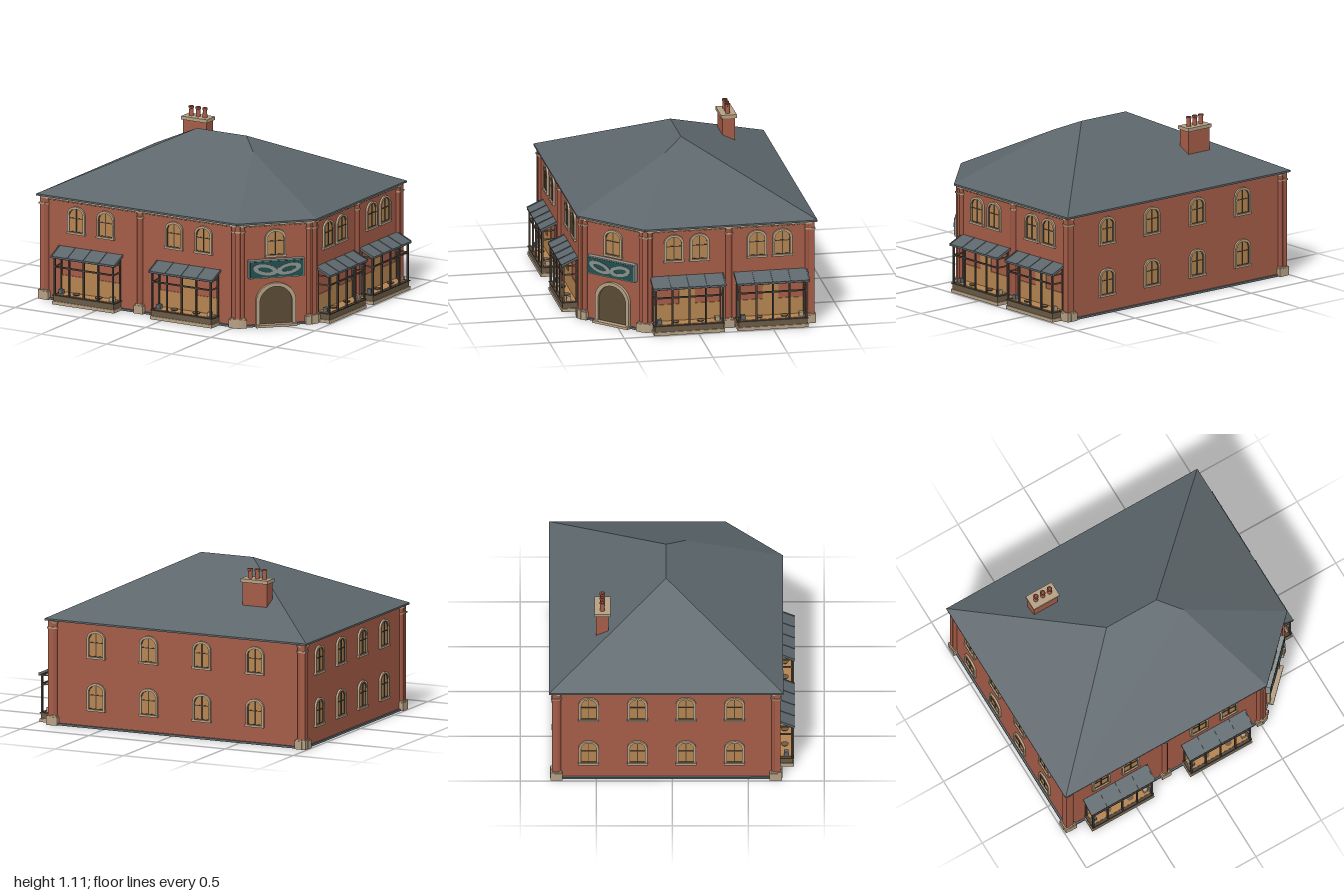
import * as THREE from 'three';

const mat = (name, color) => {
  const m = new THREE.MeshStandardMaterial({ color, flatShading: name !== 'column brick' });
  m.name = name;
  return m;
};

export function createModel() {
  const brick = mat('brick', 0xa55c47), shaftBrick = mat('column brick', 0x9c5542);
  const slate = mat('slate', 0x5c666b), stone = mat('stone', 0xb5a084);
  const amber = mat('amber glass', 0xb58450), wood = mat('brown wood', 0x6b5a45);
  const frameWood = mat('dark frame', 0x4c433a), green = mat('sign green', 0x20504c);
  const silver = mat('silver ornament', 0x8c908f), doorWood = mat('door wood', 0x5a4a33);

  const model = new THREE.Group();
  model.name = 'cornerPub';

  const add = (parent, name, geo, material, x = 0, y = 0, z = 0) => {
    const m = new THREE.Mesh(geo, material);
    m.name = name;
    m.position.set(x, y, z);
    parent.add(m);
    return m;
  };
  // box given by its centre in x, bottom and top in y, back and front in z
  const box = (parent, name, material, x, w, y0, y1, z0, z1) =>
    add(parent, name, new THREE.BoxGeometry(w, y1 - y0, z1 - z0), material, x, (y0 + y1) / 2, (z0 + z1) / 2);

  // five-sided plan with the cut corner, grown outward by a margin
  const plan = (m) => {
    const c = m * 0.414;
    return [[-0.965 - m, 0.695 + m], [0.525 + c, 0.695 + m], [0.885 + m, 0.335 + c],
      [0.885 + m, -0.775 - m], [-0.965 - m, -0.775 - m]];
  };
  const slab = (name, material, margin, y0, y1) => {
    const s = new THREE.Shape(plan(margin).map(([x, z]) => new THREE.Vector2(x, -z)));
    const g = new THREE.ExtrudeGeometry(s, { depth: y1 - y0, bevelEnabled: false });
    add(model, name, g.rotateX(-Math.PI / 2), material, 0, y0, 0);
  };
  slab('foundation', slate, 0.012, 0, 0.014);
  slab('walls', brick, 0, 0.014, 0.7);
  slab('eaves', slate, 0.035, 0.702, 0.714);

  // hipped roof
  const eave = plan(0.035).map(([x, z]) => [x, 0.714, z]);
  const [A, B, C, D, E] = eave;
  const R1 = [-0.23, 1.09, -0.04], R2 = [0.15, 1.09, -0.04], P = [0.28, 1.027, 0.09];
  const pos = [];
  for (const f of [[A, B, P, R2, R1], [B, C, P], [C, D, R2, P], [D, E, R1, R2], [E, A, R1]])
    for (let i = 1; i < f.length - 1; i++) pos.push(...f[0], ...f[i], ...f[i + 1]);
  const roofGeo = new THREE.BufferGeometry();
  roofGeo.setAttribute('position', new THREE.Float32BufferAttribute(pos, 3));
  roofGeo.computeVertexNormals();
  add(model, 'roof', roofGeo, slate);

  // each wall is a group whose local +z points outward
  const wall = (name, x, z, ry) => {
    const g = new THREE.Group();
    g.name = name;
    g.position.set(x, 0, z);
    g.rotation.y = ry;
    model.add(g);
    return g;
  };
  const front = wall('frontWall', 0, 0.695, 0);
  const right = wall('bayWall', 0.885, 0, Math.PI / 2);
  const back = wall('backWall', 0, -0.775, Math.PI);
  const left = wall('plainSideWall', -0.965, 0, -Math.PI / 2);
  const corner = wall('cornerWall', 0.705, 0.515, Math.PI / 4);

  // arched opening outline, bottom centre at the origin
  const arch = (Type, w, h, rise, y = 0) => {
    const s = new Type();
    s.moveTo(-w / 2, y);
    s.lineTo(w / 2, y);
    s.lineTo(w / 2, y + h - rise);
    s.absellipse(0, y + h - rise, w / 2, rise, 0, Math.PI, false);
    s.closePath();
    return s;
  };
  const plate = (shape, depth) => new THREE.ExtrudeGeometry(shape, { depth, bevelEnabled: false, curveSegments: 14 });
  const ring = (w, h, rise, t, bottom) => {
    const s = arch(THREE.Shape, w, h, rise);
    s.holes.push(arch(THREE.Path, w - 2 * t, h - t - bottom, rise - t / 2, bottom));
    return s;
  };

  const windowAt = (parent, x, y, w = 0.132, h = 0.185) => {
    const g = new THREE.Group();
    g.name = 'archedWindow';
    g.position.set(x, y, 0);
    parent.add(g);
    add(g, 'stoneSurround', plate(ring(w, h, 0.056, 0.013, 0.01), 0.014), stone);
    add(g, 'windowGlass', plate(arch(THREE.Shape, w - 0.02, h - 0.015, 0.05, 0.006), 0.004), amber);
    const sash = add(g, 'sash', plate(ring(w - 0.024, h - 0.022, 0.049, 0.005, 0.005), 0.008), frameWood);
    sash.position.y = 0.01;
    box(g, 'mullion', frameWood, 0, 0.006, 0.01, h - 0.014, 0, 0.009);
    box(g, 'glazingBar', frameWood, 0, w - 0.026, 0.102, 0.107, 0, 0.009);
    box(g, 'sill', stone, 0, w + 0.006, -0.004, 0.01, 0, 0.018);
  };
  for (const x of [-0.71, -0.485, 0.04, 0.265]) windowAt(front, x, 0.472);
  for (const z of [0.147, -0.025, -0.41, -0.58]) windowAt(right, -z, 0.475);
  for (const y of [0.12, 0.472]) {
    for (const x of [0.555, 0.17, -0.22, -0.61]) windowAt(back, -x, y);
    for (const z of [-0.55, -0.23, 0.09, 0.41]) windowAt(left, z, y);
  }
  windowAt(corner, 0, 0.472, 0.14);

  // shopfront bay with open glazing, posts and a lean-to roof
  const bayAt = (parent, x) => {
    const g = new THREE.Group();
    g.name = 'shopBay';
    g.position.x = x;
    parent.add(g);
    const w = 0.46, d = 0.1;
    box(g, 'bayPlinth', stone, 0, w + 0.014, 0, 0.022, 0, d + 0.006);
    box(g, 'stallRiser', wood, 0, w, 0.022, 0.058, 0, d);
    box(g, 'baySill', frameWood, 0, w + 0.012, 0.058, 0.064, 0, d + 0.006);
    box(g, 'displayFloor', amber, 0, w - 0.03, 0.06, 0.067, 0, d - 0.014);
    box(g, 'displayBack', amber, 0, w - 0.02, 0.064, 0.18, 0, 0.006);
    add(g, 'innerArch', plate(arch(THREE.Shape, 0.108, 0.13, 0.05), 0.006), amber, 0, 0.18, 0);
    for (let i = 0; i <= 4; i++)
      box(g, 'bayPost', frameWood, (i / 4 - 0.5) * (w - 0.012), 0.011, 0.06, 0.33, d - 0.012, d);
    for (const y of [0.25, 0.31])
      box(g, 'bayRail', frameWood, 0, w, y, y + 0.01, d - 0.011, d - 0.001);
    for (const s of [-1, 1]) {
      const sx = s * (w / 2 - 0.006);
      box(g, 'wallPost', frameWood, sx, 0.01, 0.06, 0.35, 0, 0.012);
      for (const y of [0.25, 0.31]) box(g, 'sideRail', wood, sx, 0.009, y, y + 0.009, 0, d);
      box(g, 'displayBox', s > 0 ? stone : slate, s * 0.195, 0.03, 0.066, 0.096, 0.04, 0.07);
      add(g, 'displayDish', new THREE.CylinderGeometry(0.026, 0.02, 0.008, 14), wood, s * 0.085, 0.071, 0.045);
    }
    const roof = new THREE.Group();
    roof.name = 'bayRoof';
    roof.position.set(0, 0.345, 0.055);
    roof.rotation.x = 0.42;
    g.add(roof);
    box(roof, 'bayRoofSheet', slate, 0, 0.49, -0.006, 0.006, -0.062, 0.058);
    for (let i = 0; i <= 4; i++) box(roof, 'roofRib', slate, (i / 4 - 0.5) * 0.482, 0.008, 0.006, 0.01, -0.062, 0.058);
    box(g, 'bayFascia', slate, 0, 0.49, 0.314, 0.328, d - 0.004, d + 0.009);
  };
  bayAt(front, -0.6);
  bayAt(front, 0.15);
  bayAt(right, -0.06);
  bayAt(right, 0.5);

  // engaged columns with stone base and banded capital
  const columnAt = (parent, x, r = 0.021, baseW = 0.07) => {
    const g = new THREE.Group();
    g.name = 'engagedColumn';
    g.position.x = x;
    parent.add(g);
    box(g, 'columnBase', stone, 0, baseW, 0, 0.055, -0.02, 0.03);
    box(g, 'columnBaseCap', stone, 0, baseW - 0.016, 0.055, 0.066, -0.02, 0.025);
    add(g, 'columnShaft', new THREE.CylinderGeometry(r, r, 0.65, 16), shaftBrick, 0, 0.375, 0.002);
    for (const [y, k] of [[0.652, 0.005], [0.69, 0.007]])
      add(g, 'columnBand', new THREE.CylinderGeometry(r + k, r + k, 0.01, 16), stone, 0, y, 0.002);
  };
  columnAt(front, -0.222);
  columnAt(right, 0.222);
  for (const [w, xs] of [[front, [-0.938, 0.497]], [right, [-0.307, 0.748]], [back, [-0.858, 0.938]],
    [left, [-0.748, 0.668]], [corner, [-0.226, 0.226]]])
    for (const x of xs) columnAt(w, x, 0.016, 0.054);
  // small piers closing the outer corners
  for (const [x, z] of plan(0)) {
    const g = new THREE.Group();
    g.name = 'cornerPier';
    g.position.set(x, 0, z);
    model.add(g);
    if (x > 0 && z > 0) g.rotation.y = x > 0.7 ? Math.PI * 3 / 8 : Math.PI / 8;
    box(g, 'pierBase', stone, 0, 0.054, 0, 0.062, -0.027, 0.027);
    box(g, 'pierShaft', brick, 0, 0.036, 0.06, 0.7, -0.018, 0.018);
    box(g, 'pierBand', stone, 0, 0.046, 0.647, 0.657, -0.023, 0.023);
  }

  // cornice with dentils on the three street walls
  for (const [w, c, len] of [[front, -0.22, 1.49], [right, 0.22, 1.11], [corner, 0, 0.509]]) {
    box(w, 'cornice', stone, c, len, 0.69, 0.702, 0, 0.024);
    const n = Math.round(len / 0.035);
    for (let i = 0; i < n; i++)
      box(w, 'dentil', stone, c + ((i + 0.5) / n - 0.5) * len, 0.014, 0.68, 0.69, 0, 0.014);
  }

  // corner entrance
  add(corner, 'doorSurround', plate(ring(0.27, 0.295, 0.125, 0.024, 0), 0.022), stone);
  add(corner, 'door', plate(arch(THREE.Shape, 0.23, 0.272, 0.113), 0.006), doorWood);
  box(corner, 'doorStep', stone, 0, 0.28, 0, 0.016, 0, 0.045);

  // hanging board with a pair of oval ornaments
  box(corner, 'signBacking', silver, 0, 0.376, 0.334, 0.456, 0, 0.038);
  box(corner, 'signBoard', green, 0, 0.362, 0.341, 0.449, 0.03, 0.042);
  for (const s of [-1, 1]) {
    const oval = new THREE.Shape();
    oval.absellipse(0, 0, 0.085, 0.036, 0, Math.PI * 2, false);
    const hole = new THREE.Path();
    hole.absellipse(0, 0, 0.05, 0.016, 0, Math.PI * 2, true);
    oval.holes.push(hole);
    const o = add(corner, 'ovalOrnament', plate(oval, 0.005), silver, s * 0.08, 0.394, 0.041);
    o.rotation.z = s * 0.2;
  }

  // chimney with three pots
  const chimney = new THREE.Group();
  chimney.name = 'chimney';
  chimney.position.set(-0.47, 0, -0.46);
  model.add(chimney);
  box(chimney, 'chimneyStack', brick, 0, 0.18, 0.82, 1.02, -0.042, 0.042);
  box(chimney, 'chimneyCap', stone, 0, 0.198, 1.02, 1.043, -0.053, 0.053);
  const potProfile = [[0.016, 0], [0.014, 0.05], [0.018, 0.052], [0.018, 0.064], [0.011, 0.064], [0.011, 0.01], [0, 0.01]];
  const potGeo = new THREE.LatheGeometry(potProfile.map(([r, y]) => new THREE.Vector2(r, y)), 16);
  for (const x of [-0.052, 0, 0.052]) add(chimney, 'chimneyPot', potGeo, brick, x, 1.043, 0);

  return model;
}
